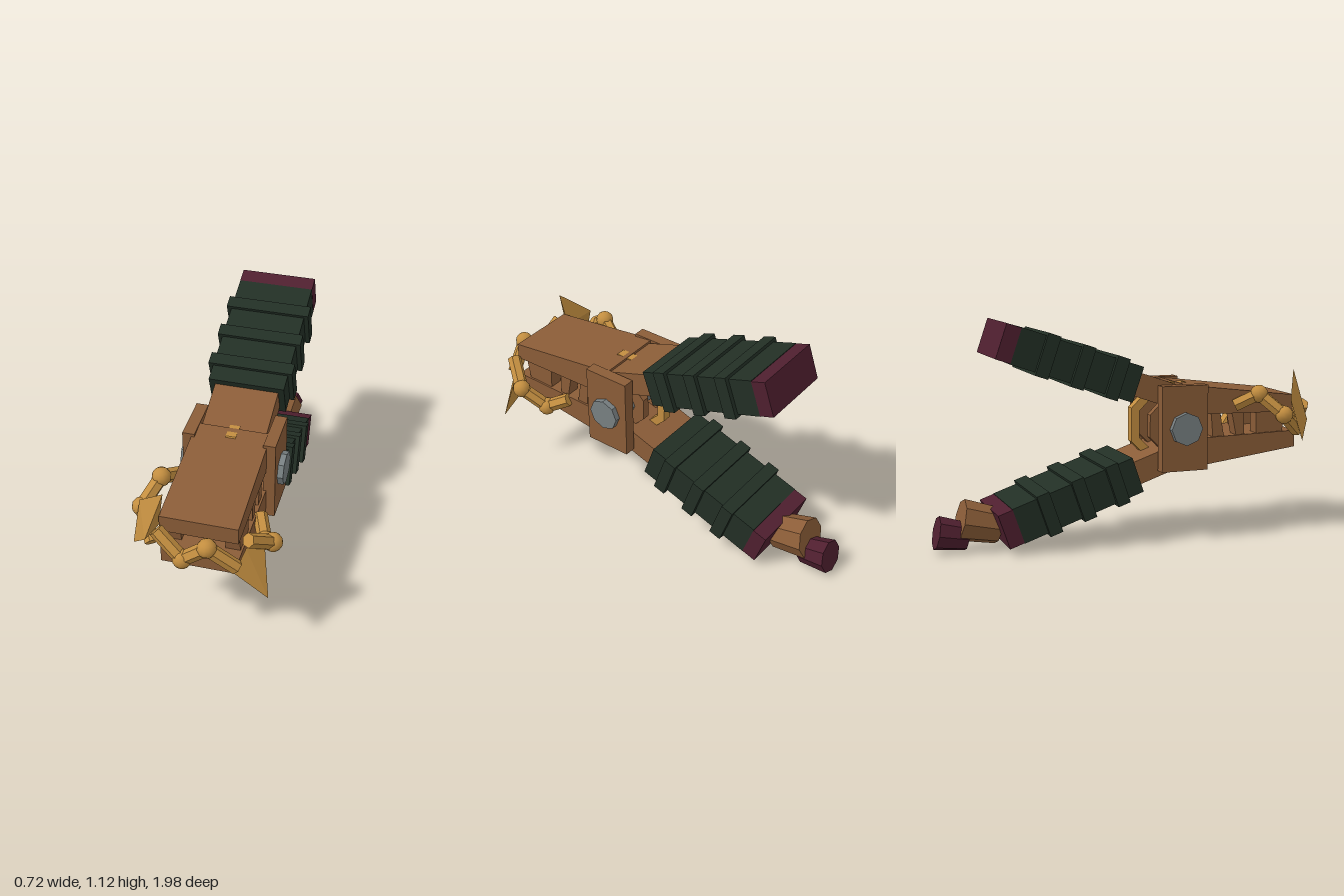
import * as THREE from 'three';
import { ConvexGeometry } from 'three/addons/geometries/ConvexGeometry.js';

const CX = -0.007; // middle of the tool
const PIVOT = new THREE.Vector3(CX, 0.585, 0.235);
const V = (a) => new THREE.Vector3(...a);

export function createModel() {
  const paint = (name, color) => {
    const m = new THREE.MeshStandardMaterial({ color });
    m.name = name;
    return m;
  };
  const brown = paint('brown', 0x8b5d38);
  const green = paint('dark green', 0x222f25);
  const red = paint('dark red', 0x4f1f2f);
  const gold = paint('gold', 0xc38e40);
  const grey = paint('grey', 0x788082);

  const root = new THREE.Group();
  root.name = 'clampTool';

  const add = (parent, name, geometry, material, pos = [0, 0, 0]) => {
    const mesh = new THREE.Mesh(geometry, material);
    mesh.name = name;
    mesh.position.set(...pos);
    parent.add(mesh);
    return mesh;
  };
  const box = (parent, name, size, pos, material) =>
    add(parent, name, new THREE.BoxGeometry(...size), material, pos);

  // Faceted geometry: one normal per face
  const facet = (geometry) => {
    const g = geometry.toNonIndexed();
    g.computeVertexNormals();
    return g;
  };

  // Faceted, optionally tapered bar from a to b
  const bar = (parent, name, a, b, rA, rB, sides, material) => {
    const from = V(a), to = V(b), dir = to.clone().sub(from);
    const mesh = add(parent, name, facet(new THREE.CylinderGeometry(rB, rA, dir.length(), sides)), material);
    mesh.position.copy(from).add(to).multiplyScalar(0.5);
    mesh.quaternion.setFromUnitVectors(new THREE.Vector3(0, 1, 0), dir.normalize());
    return mesh;
  };

  // Side profile given as [z, y], extruded across x and centred on x
  const slab = (parent, name, profile, width, x, material) => {
    const shape = new THREE.Shape(profile.map(([z, y]) => new THREE.Vector2(-z, y)));
    const g = new THREE.ExtrudeGeometry(shape, { depth: width, bevelEnabled: false });
    g.translate(0, 0, -width / 2);
    g.rotateY(Math.PI / 2);
    return add(parent, name, g, material, [x, 0, 0]);
  };

  // One half of the clamp: jaw, teeth, arm and ribbed grip
  function makeHalf(name) {
    const half = new THREE.Group();
    half.name = name;
    slab(half, 'jaw', [[0.87, 0.135], [0.26, 0.212], [0.26, 0.062], [0.87, 0.05]], 0.37, 0, brown);

    const handle = new THREE.Group();
    handle.name = 'handle';
    handle.position.y = 0.225;
    handle.rotation.x = 0.33;
    half.add(handle);
    box(handle, 'arm', [0.32, 0.12, 0.3], [0, 0, 0.13], brown);
    box(handle, 'grip', [0.38, 0.184, 0.65], [0, 0, -0.325], green);
    for (const s of [0.12, 0.305, 0.49])
      box(handle, 'gripRib', [0.425, 0.214, 0.066], [0, 0, -s], green);
    box(handle, 'gripCap', [0.382, 0.178, 0.076], [0, 0, -0.688], red);
    half.position.set(CX, PIVOT.y, 0);
    root.add(half);
    return half;
  }
  makeHalf('upperHalf');
  makeHalf('lowerHalf').rotation.z = Math.PI;

  // Teeth down both sides of the mouth: [top front, top back, bottom back, bottom front] in z
  const teeth = [[0.82, 0.65, 0.655, 0.8], [0.58, 0.515, 0.54, 0.587], [0.45, 0.4, 0.41, 0.472]];
  for (const side of [-1, 1])
    for (const [a, b, c, d] of teeth)
      slab(root, 'tooth', [[a, 0.645], [b, 0.645], [c, 0.525], [d, 0.525]], 0.07, CX + side * 0.14, brown);

  // Pivot: cheek plates, bolt and rings
  for (const side of [-1, 1])
    box(root, 'cheekPlate', [0.06, 0.43, 0.245], [CX + side * 0.199, 0.585, PIVOT.z], brown);
  bar(root, 'pivotBolt', [CX - 0.258, PIVOT.y, PIVOT.z], [CX + 0.258, PIVOT.y, PIVOT.z], 0.083, 0.083, 8, grey);
  const ring = (name, x, outer, inner, width, material) => {
    const polygon = (r) => Array.from({ length: 8 }, (_, i) => {
      const t = (i + 0.5) * Math.PI / 4;
      return new THREE.Vector2(r * Math.cos(t), r * Math.sin(t));
    });
    const shape = new THREE.Shape(polygon(outer));
    shape.holes.push(new THREE.Path(polygon(inner)));
    const g = new THREE.ExtrudeGeometry(shape, { depth: width, bevelEnabled: false });
    g.translate(0, 0, -width / 2);
    g.rotateY(Math.PI / 2);
    add(root, name, g, material, [x, PIVOT.y, PIVOT.z]);
  };
  ring('goldRing', CX, 0.226, 0.18, 0.05, gold);
  for (const side of [-1, 1]) ring('spacerRing', CX + side * 0.085, 0.15, 0.06, 0.04, brown);

  // Flared knob at the end of the lower grip
  bar(root, 'knobNeck', [CX, 0.115, -0.67], [CX, 0.16, -0.858], 0.09, 0.105, 8, brown);
  bar(root, 'knobTip', [CX, 0.074, -0.83], [CX, 0.104, -0.978], 0.07, 0.085, 8, red);

  // Chain: two matching halves, turned half a circle about the long axis
  const chain = new THREE.Group();
  chain.name = 'chain';
  root.add(chain);
  const spin = ([x, y, z]) => [2 * CX - x, 1.204 - y, z];
  const ball = (p) => add(chain, 'chainBall', new THREE.SphereGeometry(0.046, 12, 8), gold, p);
  const link = (a, b) => bar(chain, 'chainLink', a, b, 0.035, 0.035, 6, gold);
  const sidePath = [[0.19, 0.52, 0.52], [0.24, 0.46, 0.63], [0.305, 0.563, 0.74], [0.22, 0.66, 0.86]];
  const frontBall = [0.052, 0.648, 0.943], frontEnd = [0.18, 0.532, 0.91];
  for (const turn of [(p) => p, spin]) {
    const path = sidePath.map(turn);
    for (let i = 0; i < 3; i++) link(path[i], path[i + 1]);
    ball(path[1]);
    ball(path[2]);
    ball(turn(frontBall));
    link(turn(frontBall), turn(frontEnd));
  }
  link(frontBall, spin(frontBall));

  // Spikes: the first point of each is its long tip
  const spikes = {
    leftSpike: [[0.318, 0.337, 0.875], [0.28, 0.605, 0.8], [0.21, 0.61, 0.86], [0.17, 0.5, 0.92], [0.2, 0.5, 0.8]],
    rightSpike: [[-0.167, 0.853, 0.87], [-0.332, 0.505, 0.84], [-0.312, 0.715, 0.78], [-0.2, 0.65, 0.85], [-0.25, 0.6, 0.91]],
  };
  for (const [name, points] of Object.entries(spikes))
    add(chain, name, new ConvexGeometry(points.map(V)), gold);

  return root;
}
